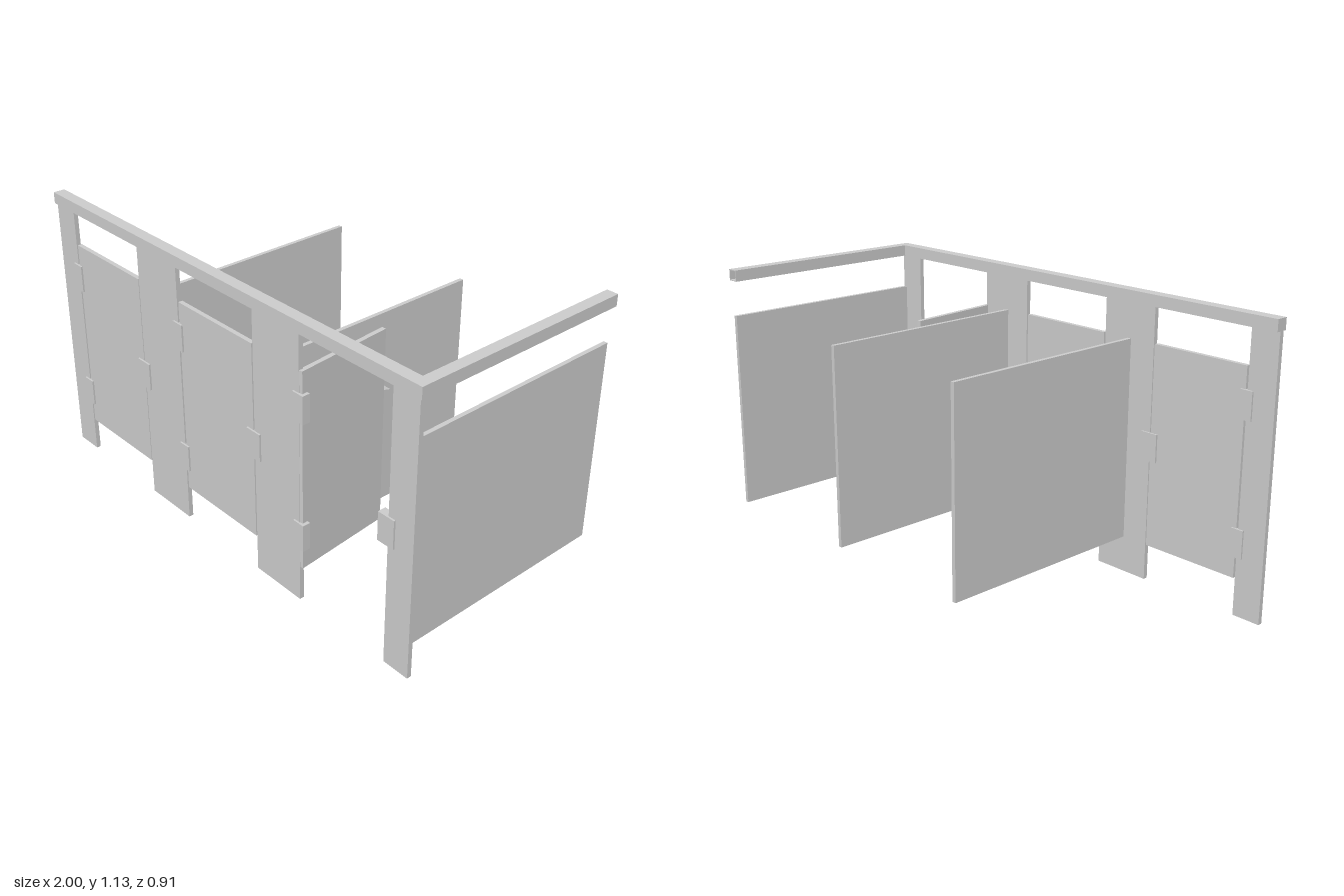
import * as THREE from 'three';

export function createModel() {
  const root = new THREE.Group();
  const mat = new THREE.MeshStandardMaterial({ color: 0xcccccc, flatShading: true });

  const add = (name, geometry, parent = root) => {
    const mesh = new THREE.Mesh(geometry, mat);
    mesh.name = name;
    parent.add(mesh);
    return mesh;
  };
  // Box given by its limits on each axis
  const block = (name, [x0, x1], [y0, y1], [z0, z1], parent) => {
    const g = new THREE.BoxGeometry(x1 - x0, y1 - y0, z1 - z0);
    g.translate((x0 + x1) / 2, (y0 + y1) / 2, (z0 + z1) / 2);
    return add(name, g, parent);
  };

  const panelY = [0.145, 0.945];
  const frontZ = [0.427, 0.445];

  // Upright posts along the front
  [[-1, -0.885], [-0.46, -0.222], [0.205, 0.443], [0.872, 0.985]].forEach((x, i) =>
    block(`pilaster${i + 1}`, x, [0, 1.087], frontZ));

  // Dividing walls running to the back
  [-0.341, 0.322, 0.977].forEach((x, i) =>
    block(`partition${i + 1}`, [x - 0.008, x + 0.008], panelY, [-0.455, 0.427]));

  // Doors with two hinges and a latch each; the last door stands open
  [-0.88, -0.217, 0.447].forEach((x, i) => {
    const stall = new THREE.Group();
    stall.name = `stallFront${i + 1}`;
    root.add(stall);
    const door = block('door', [0.003, 0.416], panelY, [-0.018, 0], stall);
    door.position.set(x, 0, 0.445);
    if (i === 2) {
      door.position.x = 0.457;
      door.rotation.y = THREE.MathUtils.degToRad(95);
    }
    for (const y of [0.23, 0.75]) {
      block('hinge', [x - 0.03, x + 0.022], [y, y + 0.11], [0.42, 0.452], stall);
    }
    const lx = x + 0.421;
    block('latch', [lx - 0.037, lx + 0.035], [0.49, 0.602], [0.42, 0.452], stall);
  });

  // Head rail across the front
  block('frontRail', [-1, 1], [1.087, 1.132], [0.41, 0.457]);

  // Hollow square side rail
  const square = (C, r) => new C([[-r, -r], [r, -r], [r, r], [-r, r]].map(p => new THREE.Vector2(...p)));
  const section = square(THREE.Shape, 0.0225);
  section.holes.push(square(THREE.Path, 0.019));
  const rail = add('sideRail', new THREE.ExtrudeGeometry(section, { depth: 0.867, bevelEnabled: false }));
  rail.position.set(0.9775, 1.1095, -0.457);

  // Round paper dispenser on the middle partition
  const drum = add('paperDispenser', new THREE.CylinderGeometry(0.135, 0.135, 0.06, 12));
  drum.rotation.z = Math.PI / 2;
  drum.position.set(0.36, 0.55, 0.035);

  return root;
}
